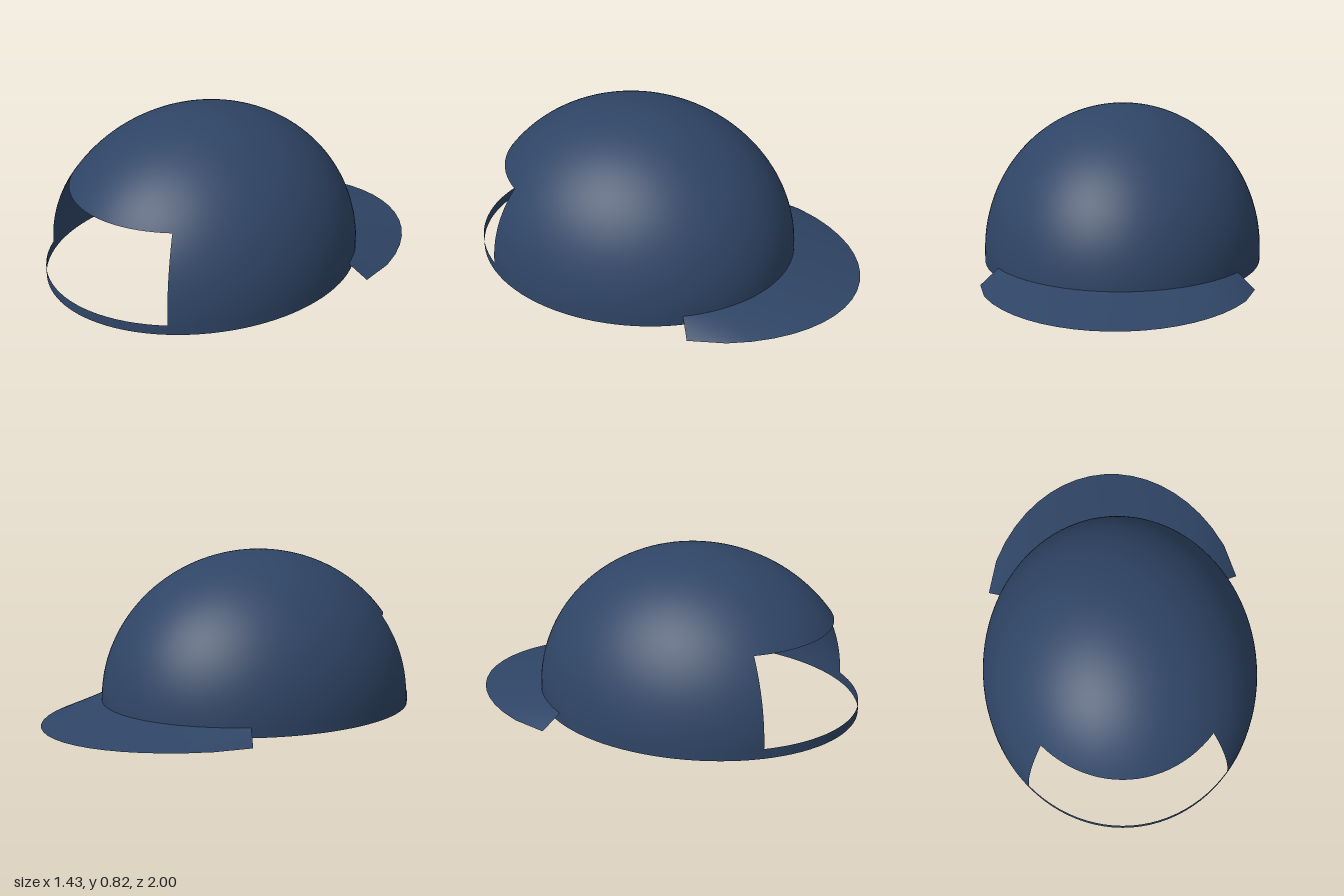
import * as THREE from 'three';

const RX = 0.715, RY = 0.745, RZ = 0.822; // crown radii
const CZ = 0.178, RIM = 0.075;            // crown centre and rim height
const OPEN_TOP = 0.981;                   // polar angle of the opening's upper edge

export function createModel() {
  const group = new THREE.Group();
  const navy = new THREE.MeshStandardMaterial({ color: 0x2f4566, side: THREE.DoubleSide });
  navy.name = 'navy cloth';

  const add = (name, geometry) => {
    const mesh = new THREE.Mesh(geometry, navy);
    mesh.name = name;
    group.add(mesh);
  };
  const onCrown = (geometry) => geometry.scale(RX, RY, RZ).translate(0, RIM, CZ);

  // Crown: a closed cap above, and a wall with a quarter-turn opening at the front
  add('crownTop', onCrown(new THREE.SphereGeometry(1, 96, 24, 0, Math.PI * 2, 0, OPEN_TOP)));
  add('crownWall', onCrown(new THREE.SphereGeometry(
    1, 72, 16, Math.PI * 0.75, Math.PI * 1.5, OPEN_TOP, Math.PI / 2 - OPEN_TOP)));

  // Thin upright band around the rim, crossing below the opening
  const band = new THREE.CylinderGeometry(1, 1, 0.05, 96, 1, true);
  add('rimBand', band.scale(RX, 1, RZ).translate(0, RIM - 0.025, CZ));

  // Brim at the back, sloping from the rim down to its outer edge
  add('brim', brimGeometry());
  return group;
}

function brimGeometry() {
  const steps = 20, rings = 4, start = 0.6;
  const positions = [], index = [];
  for (let i = 0; i <= steps; i++) {
    const t = i / steps;
    const a = start + (Math.PI - 2 * start) * t;
    const reach = 0.05 + 0.306 * Math.sqrt(Math.max(0, Math.sin(Math.PI * t)));
    const inner = new THREE.Vector3(RX * Math.cos(a), RIM, CZ - RZ * Math.sin(a));
    const outer = new THREE.Vector3(RX * 1.14 * Math.cos(a), 0.002, inner.z - reach);
    for (let j = 0; j <= rings; j++) {
      positions.push(...inner.clone().lerp(outer, j / rings).toArray());
      if (i < steps && j < rings) {
        const p = i * (rings + 1) + j, q = p + rings + 1;
        index.push(p, p + 1, q + 1, p, q + 1, q);
      }
    }
  }
  const geometry = new THREE.BufferGeometry();
  geometry.setAttribute('position', new THREE.Float32BufferAttribute(positions, 3));
  geometry.setIndex(index);
  geometry.computeVertexNormals();
  return geometry;
}
